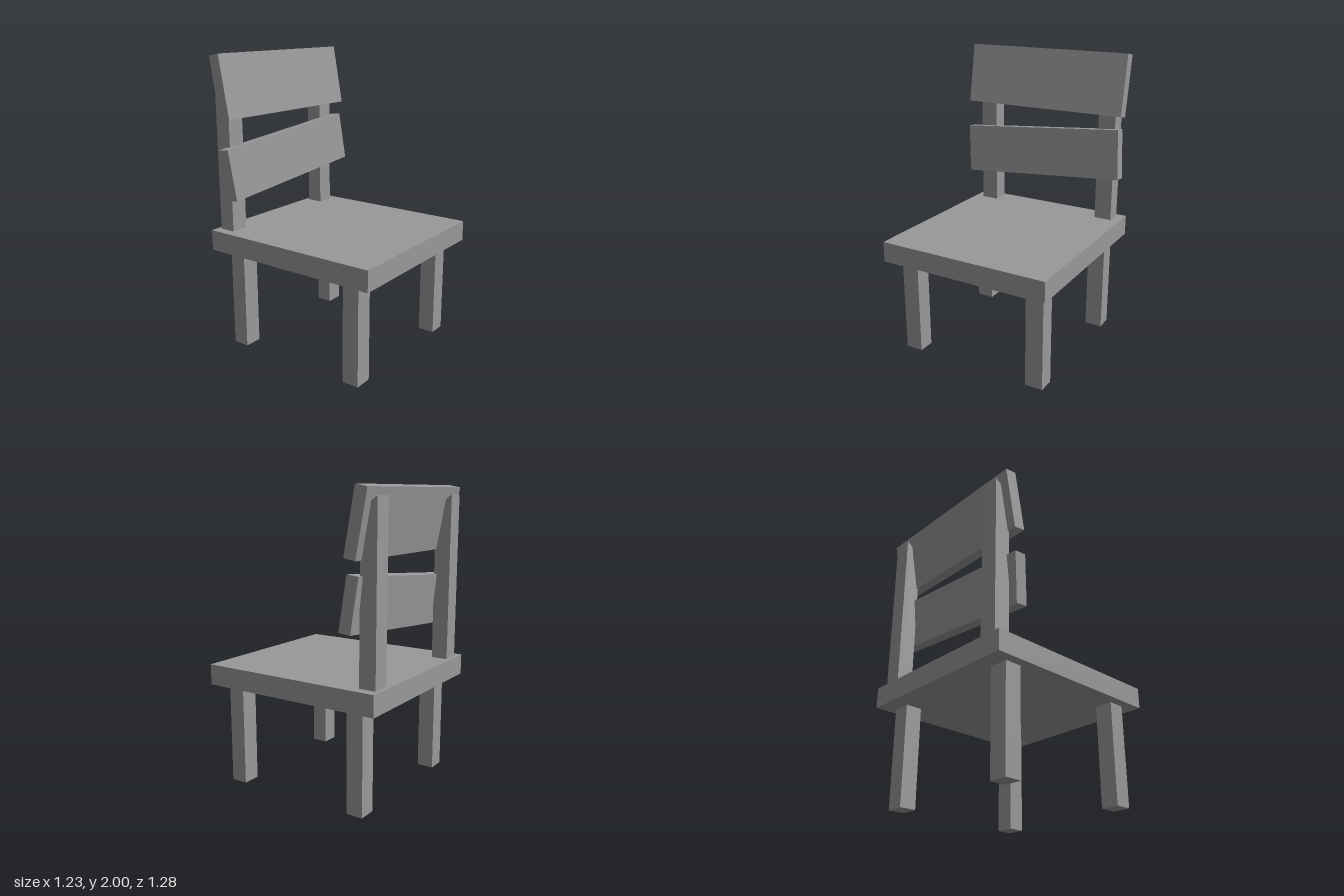
import * as THREE from 'three';

const material = new THREE.MeshStandardMaterial({ color: 0x999999, flatShading: true });

function add(parent, name, geometry, x, y, z) {
  const mesh = new THREE.Mesh(geometry, material);
  mesh.name = name;
  mesh.position.set(x, y, z);
  parent.add(mesh);
  return mesh;
}

export function createModel() {
  const chair = new THREE.Group();
  chair.name = 'chair';

  add(chair, 'seat', new THREE.BoxGeometry(1.204, 0.14, 1.28), 0, 0.75, 0);

  // Post side profile (z, y): straight, with a slanted top, its front sunk into the upper slat
  const profile = new THREE.Shape([
    [-0.5, 0.69], [-0.5, 1.86], [-0.613, 1.937], [-0.613, 0.69],
  ].map(([z, y]) => new THREE.Vector2(z, y)));
  const postGeometry = new THREE.ExtrudeGeometry(profile, { depth: 0.123, bevelEnabled: false });
  postGeometry.translate(0, 0, -0.0615).rotateY(-Math.PI / 2);

  // Legs and back posts, mirrored left and right
  const legGeometry = new THREE.BoxGeometry(0.123, 0.69, 0.115);
  for (const [side, sign] of [['left', 1], ['right', -1]]) {
    const x = sign * 0.476;
    add(chair, `${side}FrontLeg`, legGeometry, x, 0.345, 0.472);
    add(chair, `${side}BackLeg`, legGeometry, x, 0.345, -0.469);
    add(chair, `${side}BackPost`, postGeometry, x, 0, 0);
  }

  // Back slats: both lean back, the lower one also hangs crooked
  const upper = add(chair, 'upperSlat', new THREE.BoxGeometry(1.204, 0.418, 0.082), 0, 1.787, -0.508);
  upper.rotation.x = -0.183;

  const lower = add(chair, 'lowerSlat', new THREE.BoxGeometry(1.204, 0.342, 0.082), -0.002, 1.272, -0.462);
  lower.rotation.set(-0.107, 0, 0.084, 'ZYX');

  return chair;
}
